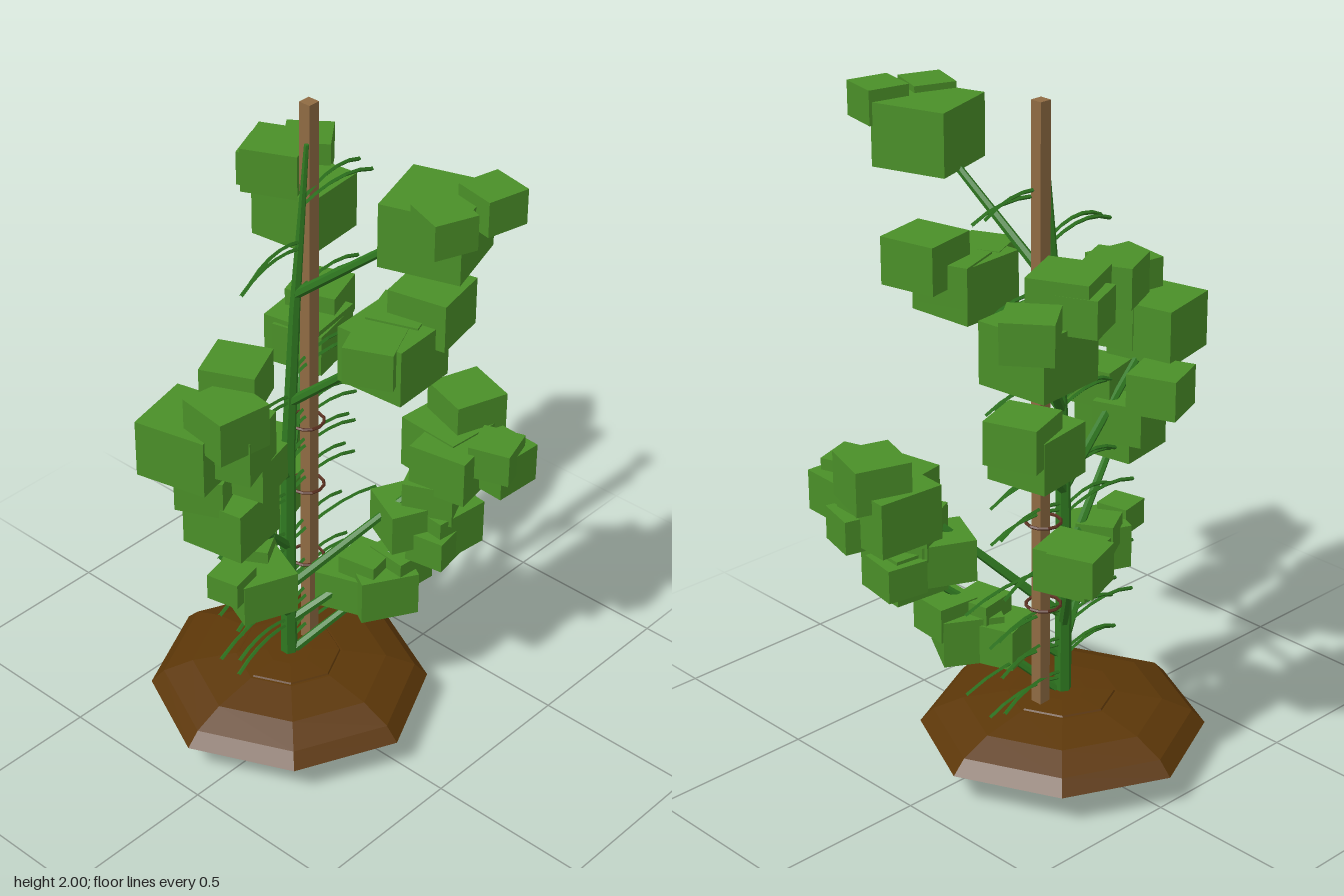
import * as THREE from 'three';

const mat = (name, color, extra = {}) => {
  const m = new THREE.MeshStandardMaterial({ color, flatShading: true, ...extra });
  m.name = name;
  return m;
};

export function createModel() {
  const model = new THREE.Group();
  const leaf = mat('leaf green', 0x4a8f28);
  const stemGreen = mat('stem green', 0x2f7820);
  const soil = mat('soil brown', 0x5c3708, { side: THREE.DoubleSide });
  const wood = mat('stake wood', 0x8f6b43);
  const twine = mat('twine brown', 0x5a3020);
  const red = mat('root red', 0xd81a06);
  const V = (x, y, z) => new THREE.Vector3(x, y, z);

  const add = (name, geo, material, parent = model) => {
    const m = new THREE.Mesh(geo, material);
    m.name = name;
    parent.add(m);
    return m;
  };

  // tapered rod between two points
  const limb = (name, a, b, r0, r1, material, parent) => {
    const d = b.clone().sub(a);
    const m = add(name, new THREE.CylinderGeometry(r1, r0, d.length(), 6), material, parent);
    m.position.copy(a).addScaledVector(d, 0.5);
    m.quaternion.setFromUnitVectors(V(0, 1, 0), d.normalize());
    return m;
  };

  // hollow soil mound: outer dome and inner shells, corners slightly drawn in on the diagonals
  const soilShell = (name, points) => {
    const geo = new THREE.LatheGeometry(points.map(([r, y]) => new THREE.Vector2(r, y)), 8);
    const p = geo.attributes.position;
    for (let i = 0; i < p.count; i++) {
      const k = 1 - 0.035 * Math.sin(2 * Math.atan2(p.getX(i), p.getZ(i))) ** 2;
      p.setXYZ(i, p.getX(i) * k, p.getY(i), p.getZ(i) * k);
    }
    add(name, geo, soil).position.set(-0.02, 0, -0.085);
  };
  soilShell('soilMound', [[0.43, 0.1], [0.39, 0.141], [0.3, 0.178], [0.165, 0.202], [0, 0.21]]);
  soilShell('innerSoil', [[0.27, 0.165], [0.21, 0.185], [0.1, 0.2]]);
  soilShell('soilCap', [[0.17, 0.185], [0.155, 0.207], [0.07, 0.212], [0, 0.213]]);

  // red bulb under the mound
  add('rootBulb', new THREE.SphereGeometry(0.066, 8, 6), red).position.set(-0.02, 0.07, -0.085);

  // support stake with twine ties
  add('stake', new THREE.BoxGeometry(0.037, 1.96, 0.037), wood).position.set(0.071, 1.02, -0.087);
  for (const y of [0.52, 0.78, 1.0]) {
    const tie = add('twineTie', new THREE.TorusGeometry(0.05, 0.005, 5, 12), twine);
    tie.rotation.x = Math.PI / 2;
    tie.position.set(0.06, y, -0.087);
  }

  // main stem
  const spine = [V(-0.02, 0.1, -0.085), V(-0.022, 0.5, -0.085), V(-0.018, 0.95, -0.085),
    V(0.0, 1.4, -0.075), V(0.03, 1.9, -0.058)];
  const radii = [0.026, 0.024, 0.021, 0.016, 0.007];
  for (let i = 0; i < 4; i++) limb('stem', spine[i], spine[i + 1], radii[i], radii[i + 1], stemGreen);
  const stemAt = (y) => {
    let i = 0;
    while (i < 3 && y > spine[i + 1].y) i++;
    const t = (y - spine[i].y) / (spine[i + 1].y - spine[i].y);
    return spine[i].clone().lerp(spine[i + 1], t);
  };

  // side branch ending in leaf blocks: [x, y, z, size, turn in degrees]
  const cluster = (startY, ...blocks) => {
    const g = new THREE.Group();
    g.name = 'leafCluster';
    model.add(g);
    const [x, y, z] = blocks[0];
    limb('branch', stemAt(startY), V(x, y, z), 0.015, 0.01, stemGreen, g);
    for (const [bx, by, bz, s, turn] of blocks) {
      const b = add('leafBlock', new THREE.BoxGeometry(s, s * 0.8, s), leaf, g);
      b.position.set(bx, by, bz);
      b.rotation.y = THREE.MathUtils.degToRad(turn);
    }
  };

  // top front
  cluster(1.45, [0.058, 1.815, 0.367, 0.228, 18], [-0.02, 1.875, 0.457, 0.125, -20],
    [0.135, 1.89, 0.485, 0.125, -12]);
  // top back
  cluster(1.1, [0.36, 1.467, -0.375, 0.215, 6], [0.3, 1.61, -0.42, 0.17, 25],
    [0.47, 1.565, -0.46, 0.14, 38], [0.3, 1.59, -0.47, 0.13, 24]);
  // upper front
  cluster(1.1, [0.03, 1.4, 0.255, 0.21, 4], [-0.06, 1.43, 0.27, 0.14, 25],
    [0.155, 1.49, 0.28, 0.175, 12], [0.09, 1.43, 0.23, 0.15, 20]);
  // upper left side
  cluster(0.85, [-0.45, 1.22, -0.03, 0.21, 13], [-0.44, 1.33, 0.095, 0.16, -8],
    [-0.325, 1.375, 0.02, 0.155, 25], [-0.39, 1.23, 0.07, 0.17, 20]);
  // middle back
  cluster(0.85, [0.265, 1.125, -0.27, 0.185, 10], [0.335, 1.19, -0.29, 0.155, 20],
    [0.25, 1.12, -0.25, 0.16, 14]);
  // middle left side
  cluster(0.6, [-0.335, 0.935, 0.0, 0.19, 10], [-0.325, 1.09, -0.165, 0.15, 21],
    [-0.385, 1.04, -0.04, 0.14, 25], [-0.28, 1.075, 0.03, 0.14, 15], [-0.29, 0.99, -0.07, 0.15, 20]);
  // middle right side
  cluster(0.45, [0.34, 0.86, 0.22, 0.18, 10], [0.42, 0.855, 0.15, 0.205, -4],
    [0.465, 0.96, 0.165, 0.165, -18], [0.395, 0.905, 0.335, 0.125, 18],
    [0.43, 0.86, 0.32, 0.15, -3], [0.49, 0.81, 0.21, 0.125, -15]);
  // lower back
  cluster(0.42, [0.09, 0.71, -0.23, 0.16, 18], [0.14, 0.75, -0.31, 0.14, 20]);
  // lower right side
  cluster(0.32, [0.335, 0.64, 0.19, 0.175, -6], [0.25, 0.67, 0.13, 0.16, -25],
    [0.4, 0.65, 0.15, 0.125, -10], [0.31, 0.75, 0.18, 0.15, 25], [0.27, 0.61, 0.22, 0.12, 10]);
  // lower left side
  cluster(0.35, [-0.21, 0.605, -0.02, 0.165, -22], [-0.31, 0.66, -0.03, 0.1, 12],
    [-0.17, 0.665, -0.08, 0.11, 30]);
  // bottom right side
  cluster(0.2, [0.2, 0.43, 0.08, 0.175, -30], [0.255, 0.49, 0.11, 0.13, -5],
    [0.15, 0.42, -0.005, 0.15, 20], [0.17, 0.49, 0.05, 0.12, 10]);

  // thin drooping twigs on both sides, in near pairs
  const twig = (y, reach, drift) => {
    const a = stemAt(y);
    const curve = new THREE.CubicBezierCurve3(a, V(a.x + reach * 0.35, y + 0.03, a.z + drift * 0.35),
      V(a.x + reach * 0.7, y + 0.03, a.z + drift * 0.7), V(a.x + reach, y - 0.01, a.z + drift));
    add('twig', new THREE.TubeGeometry(curve, 5, 0.006, 4), stemGreen);
  };
  [0.31, 0.41, 0.47, 0.57, 0.63, 0.77, 0.89, 1.1, 1.59].forEach((y, i) => {
    twig(y, y > 1 ? -0.27 : -0.26 - 0.07 * (i % 2), 0.045);
    twig(y + 0.02, -0.23, 0.02 + 0.01 * (i % 3));
  });
  [0.25, 0.36, 0.47, 0.61, 0.79, 0.9, 1.0, 1.18, 1.43, 1.72].forEach((y, i) => {
    twig(y, y < 0.7 ? 0.3 + 0.09 * (i % 2) : 0.29, -0.01);
    twig(y + 0.02, 0.28, -0.05 + 0.012 * (i % 3));
  });

  return model;
}
